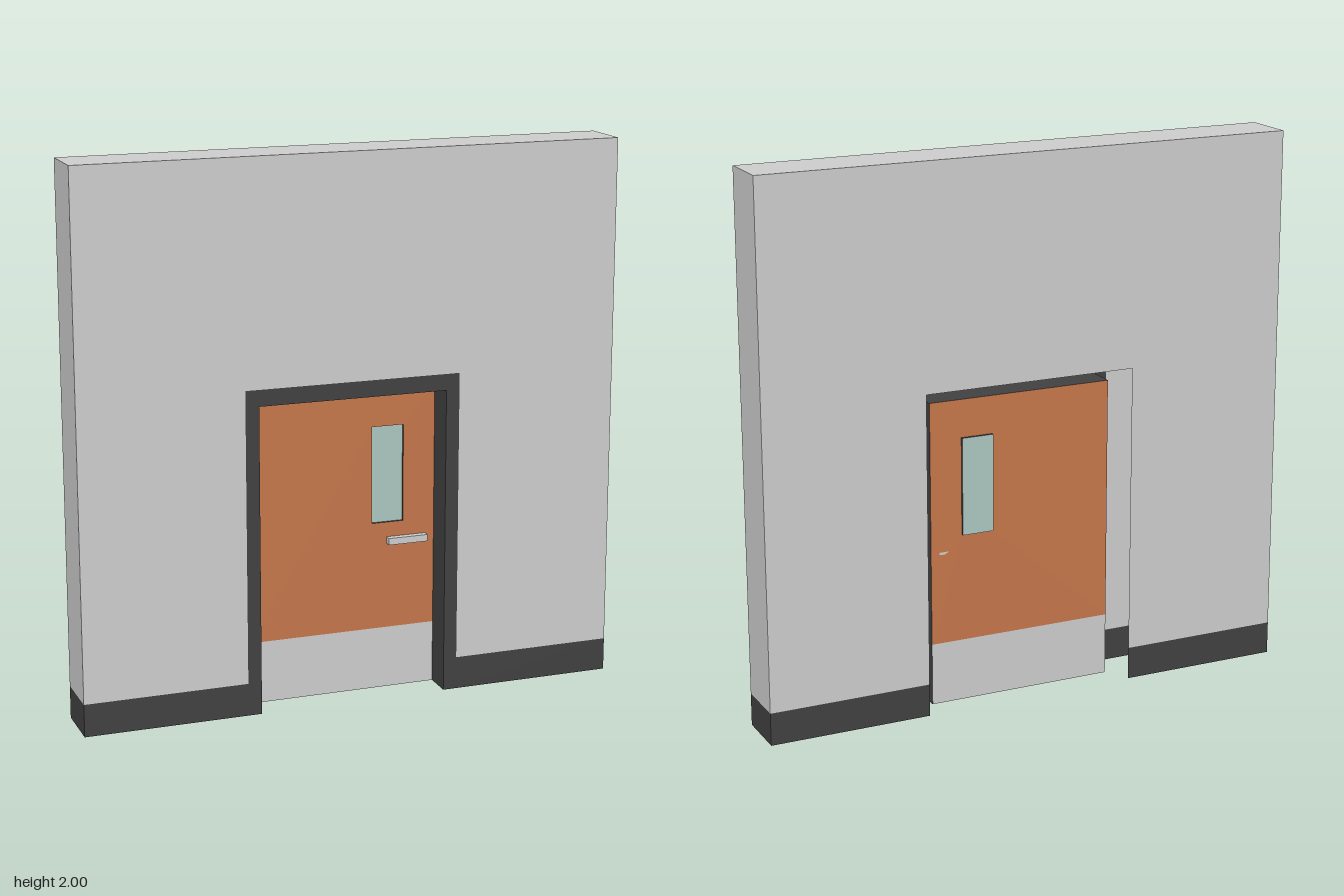
import * as THREE from 'three';

const material = (color) => new THREE.MeshStandardMaterial({ color, side: THREE.DoubleSide });

export function createModel() {
  const model = new THREE.Group();
  const grey = material(0xcccccc);
  const dark = material(0x404040);
  const orange = material(0xc4754a);
  const steel = material(0xbfbfbf);
  const glass = material(0xabc6bf);

  const add = (name, geometry, mat, parent = model) => {
    const mesh = new THREE.Mesh(geometry, mat);
    mesh.name = name;
    parent.add(mesh);
    return mesh;
  };
  const group = (name) => {
    const g = new THREE.Group();
    g.name = name;
    model.add(g);
    return g;
  };
  const outline = (points) => new THREE.Shape(points.map(([x, y]) => new THREE.Vector2(x, y)));
  const rect = (x0, x1, y0, y1) => outline([[x0, y0], [x1, y0], [x1, y1], [x0, y1]]);

  // Flat sheets: facing +z or -z, +-x (upright) and +-y (level)
  const sheetZ = (shape, z, back = false) => {
    const g = new THREE.ShapeGeometry(shape);
    if (back) g.rotateY(Math.PI);
    return g.translate(0, 0, z);
  };
  const sheetX = (x, y0, y1, z0, z1, sign) =>
    new THREE.PlaneGeometry(z1 - z0, y1 - y0).rotateY(sign * Math.PI / 2)
      .translate(x, (y0 + y1) / 2, (z0 + z1) / 2);
  const sheetY = (y, x0, x1, z0, z1, sign) =>
    new THREE.PlaneGeometry(x1 - x0, z1 - z0).rotateX(-sign * Math.PI / 2)
      .translate((x0 + x1) / 2, y, (z0 + z1) / 2);

  const D = 0.1;        // half wall thickness
  const base = 0.12;    // skirting height
  const ox = 0.4, oy = 1.19;   // wall opening
  const dx = 0.35, dy = 1.13;  // door leaf
  const dz = -0.01;     // door plane

  // Hollow wall shell with the doorway cut through both faces
  const wall = group('wall');
  const wallShape = outline([[-1, base], [-ox, base], [-ox, oy], [ox, oy],
    [ox, base], [1, base], [1, 2], [-1, 2]]);
  add('wallFront', sheetZ(wallShape, D), grey, wall);
  add('wallBack', sheetZ(wallShape, -D, true), grey, wall);
  add('wallTop', sheetY(2, -1, 1, -D, D, 1), grey, wall);
  for (const s of [-1, 1]) add('wallEnd', sheetX(s, base, 2, -D, D, s), grey, wall);

  // Skirting bands, flush with the wall and open underneath
  const skirting = group('skirting');
  for (const s of [-1, 1]) {
    const band = rect(s < 0 ? -1 : ox, s < 0 ? -ox : 1, 0, base);
    add('skirtingFront', sheetZ(band, D), dark, skirting);
    add('skirtingBack', sheetZ(band, -D, true), dark, skirting);
    add('skirtingEnd', sheetX(s, 0, base, -D, D, s), dark, skirting);
  }

  // Door frame: front border and the reveal running back to the door
  const frame = group('doorFrame');
  add('frameFace', sheetZ(outline([[-ox, 0], [-dx, 0], [-dx, dy], [dx, dy],
    [dx, 0], [ox, 0], [ox, oy], [-ox, oy]]), D), dark, frame);
  for (const s of [-1, 1]) add('frameJamb', sheetX(s * dx, 0, dy, dz, D, -s), dark, frame);
  add('frameHead', sheetY(dy, -dx, dx, dz, D, -1), dark, frame);

  // Thin door leaf with a window hole, above a metal kick plate
  const door = group('door');
  const kick = 0.23;
  const [wx0, wx1, wy0, wy1] = [0.11, 0.23, 0.63, 0.99];
  const leaf = rect(-dx, dx, kick, dy);
  leaf.holes.push(rect(wx0, wx1, wy0, wy1));
  add('doorLeaf', sheetZ(leaf, dz), orange, door);
  add('kickPlate', sheetZ(rect(-dx, dx, 0, kick), dz), steel, door);

  // Glass set slightly back, with dark edges around it
  const gz = dz - 0.01;
  add('windowGlass', sheetZ(rect(wx0, wx1, wy0, wy1), gz), glass, door);
  add('windowEdge', sheetX(wx0, wy0, wy1, gz, dz, 1), dark, door);
  add('windowEdge', sheetX(wx1, wy0, wy1, gz, dz, -1), dark, door);
  add('windowEdge', sheetY(wy0, wx0, wx1, gz, dz, 1), dark, door);
  add('windowEdge', sheetY(wy1, wx0, wx1, gz, dz, -1), dark, door);

  // Lever handle
  add('handle', new THREE.BoxGeometry(0.15, 0.025, 0.025), steel, door)
    .position.set(0.242, 0.562, dz + 0.0125);

  return model;
}
